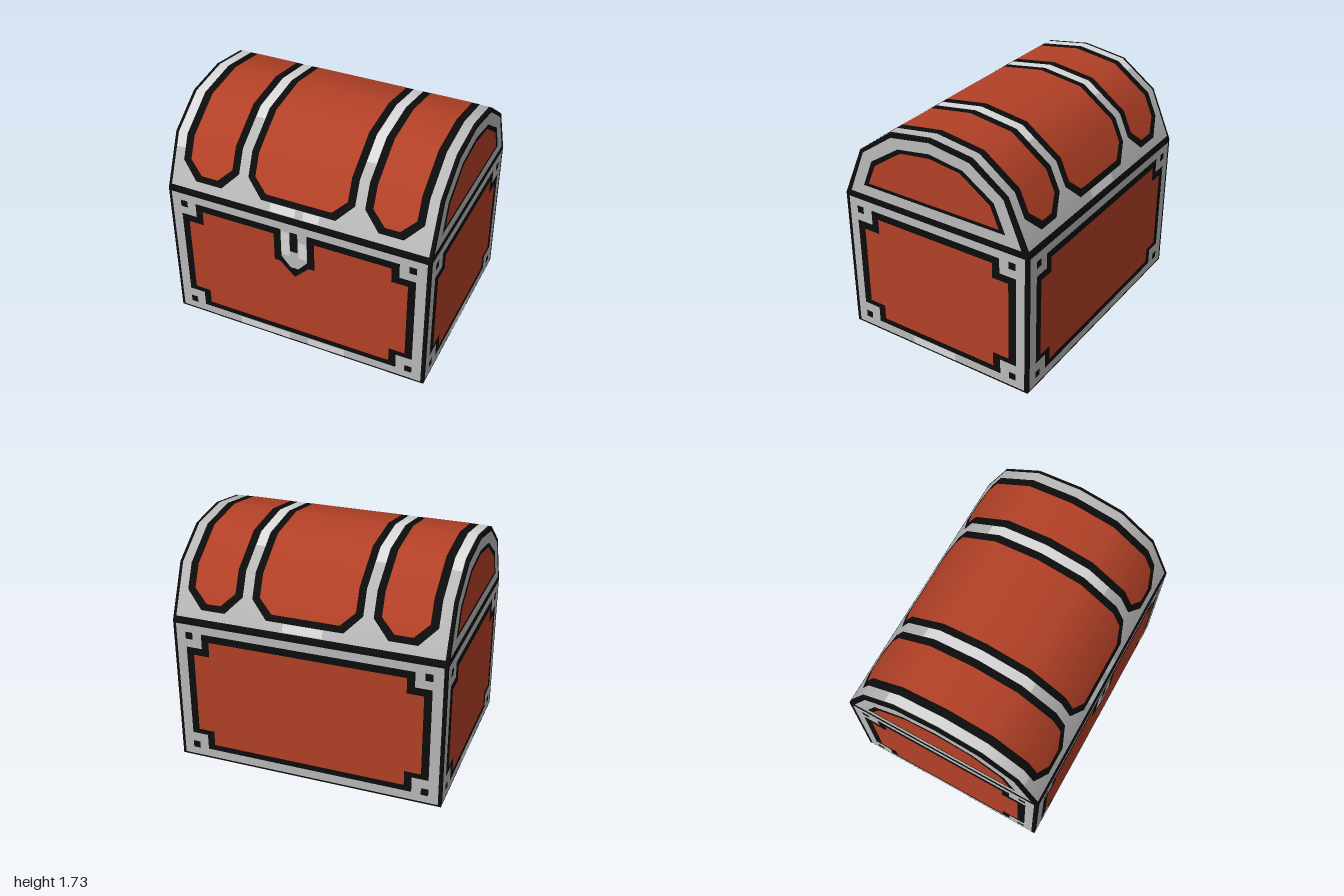
import * as THREE from 'three';

const paint = (name, color) => Object.assign(new THREE.MeshStandardMaterial({ color }), { name });

export function createModel() {
  const red = paint('red panel', 0xb44127);
  const grey = paint('grey metal', 0xbababa);
  const light = paint('worn light metal', 0xdadada);
  const black = paint('black outline', 0x0c0c0c);
  const chest = new THREE.Group();
  chest.name = 'chest';
  const W = 0.994, D = 0.757, SEAM = 1.12, STEP = 0.0015; // half width, half depth, lid seam, paint layer

  // ---- helpers for flat painted plates ----
  const plate = (parent, name, mat, layer, pts) => {
    const shape = new THREE.Shape(pts.map(([x, y]) => new THREE.Vector2(x, y)));
    const mesh = new THREE.Mesh(new THREE.ShapeGeometry(shape), mat);
    mesh.name = name;
    mesh.position.z = layer * STEP;
    parent.add(mesh);
  };
  const rect = (x0, x1, y0, y1) => [[x0, y0], [x1, y0], [x1, y1], [x0, y1]];
  // rectangle with square notches in its corners
  const notched = (X, x, y0, y1, y2, y3) => [
    [-x, y0], [x, y0], [x, y1], [X, y1], [X, y2], [x, y2],
    [x, y3], [-x, y3], [-x, y2], [-X, y2], [-X, y1], [-x, y1]];
  const octagon = (X, Y, cx, cy) => [
    [-X + cx, -Y], [X - cx, -Y], [X, -Y + cy], [X, Y - cy],
    [X - cx, Y], [-X + cx, Y], [-X, Y - cy], [-X, -Y + cy]];
  const mirrored = (half) => [...half, ...half.filter((p) => p[0] > 0).reverse().map(([x, y]) => [-x, y])];
  const face = (name, angle, distance) => {
    const g = new THREE.Group();
    g.name = name;
    g.rotation.y = angle;
    g.position.set(Math.sin(angle) * distance, 0, Math.cos(angle) * distance);
    chest.add(g);
    return g;
  };
  const studs = (g, x, ys, r) => {
    for (const sx of [-x, x]) for (const y of ys) plate(g, 'stud', black, 2, rect(sx - r, sx + r, y - r, y + r));
  };

  // ---- body ----
  const body = new THREE.Mesh(new THREE.BoxGeometry(2 * W, SEAM - 0.016, 2 * D), black);
  body.name = 'body';
  body.position.y = (SEAM + 0.016) / 2;
  chest.add(body);

  const wall = (g, half, big, small, bigRed, smallRed, stud) => {
    plate(g, 'metal frame', grey, 1, rect(-half, half, 0.03, 1.1));
    plate(g, 'panel outline', black, 2, notched(big, small, 0.095, 0.215, 0.925, 1.04));
    plate(g, 'panel', red, 3, notched(bigRed, smallRed, 0.14, 0.255, 0.87, 0.985));
    studs(g, stud, [0.115, 1.015], 0.027);
  };
  const front = face('front', 0, D);
  const back = face('back', Math.PI, D);
  for (const g of [front, back]) wall(g, 0.972, 0.9, 0.78, 0.845, 0.725, 0.875);
  plate(front, 'worn patch', light, 2, rect(-0.47, -0.06, 0.03, 0.085));
  plate(front, 'worn patch', light, 2, rect(0.09, 0.38, 0.03, 0.085));

  // latch on the front
  plate(front, 'latch outline', black, 4, [[-0.155, 0.76], [-0.11, 0.76], [0, 0.65], [0.11, 0.76], [0.155, 0.76], [0.155, 1.03], [-0.155, 1.03]]);
  plate(front, 'latch', grey, 5, [[-0.1, 0.81], [-0.03, 0.73], [0.03, 0.73], [0.1, 0.81], [0.1, 1.06], [-0.1, 1.06]]);
  plate(front, 'latch shine', light, 6, rect(-0.095, -0.035, 0.83, 1.03));
  plate(front, 'latch shine', light, 6, rect(0.035, 0.095, 0.83, 0.97));
  plate(front, 'keyhole', black, 6, rect(-0.03, 0.03, 0.875, 1.04));

  // ---- lid profile, front to back, as [z, y] ----
  const halfProfile = [[D, SEAM], [0.592, 1.5], [0.328, 1.692], [0, 1.74]];
  const profile = [...halfProfile, ...halfProfile.slice(0, 3).reverse().map(([z, y]) => [-z, y])];
  const normals = profile.map((_, i) => {
    const a = profile[Math.max(i - 1, 0)], b = profile[Math.min(i + 1, 6)];
    return new THREE.Vector2(b[1] - a[1], a[0] - b[0]).normalize();
  });

  // ---- sides with the lid ends ----
  for (const s of [1, -1]) {
    const g = face(s > 0 ? 'leftSide' : 'rightSide', s * Math.PI / 2, W);
    wall(g, 0.73, 0.665, 0.535, 0.605, 0.478, 0.635);
    plate(g, 'lid end', black, 0, mirrored(halfProfile));
    plate(g, 'lid end frame', grey, 1, mirrored([[0.705, 1.152], [0.57, 1.482], [0.317, 1.662], [0, 1.713]]));
    plate(g, 'lid end outline', black, 2, mirrored([[0.583, 1.23], [0.498, 1.435], [0.262, 1.593], [0, 1.634]]));
    plate(g, 'lid end panel', red, 3, mirrored([[0.535, 1.256], [0.47, 1.41], [0.24, 1.57], [0, 1.602]]));
    plate(g, 'worn patch', light, 2, rect(-0.22, 0.15, 0.03, 0.09));
  }

  // ---- underside ----
  const base = new THREE.Group();
  base.name = 'underside';
  base.rotation.x = Math.PI / 2;
  base.position.y = 0.016;
  chest.add(base);
  plate(base, 'base frame', grey, 1, rect(-0.97, 0.97, -0.73, 0.73));
  plate(base, 'base outline', black, 2, octagon(0.84, 0.62, 0.26, 0.21));
  plate(base, 'base panel', red, 3, octagon(0.78, 0.56, 0.24, 0.19));
  studs(base, 0.85, [-0.59, 0.59], 0.035);

  // ---- curved lid skins: rows are [place along the profile 0..6, left x, right x] ----
  const skin = (name, mat, layer, keys) => {
    const rows = [keys[0]];
    for (let k = 1; k < keys.length; k++) {
      const [a, b] = [keys[k - 1], keys[k]];
      for (let i = Math.floor(a[0]) + 1; i < b[0]; i++) {
        const f = (i - a[0]) / (b[0] - a[0]);
        rows.push([i, a[1] + (b[1] - a[1]) * f, a[2] + (b[2] - a[2]) * f]);
      }
      rows.push(b);
    }
    const pos = [], nor = [], idx = [];
    rows.forEach(([t, x0, x1], r) => {
      const i = Math.min(Math.floor(t), 5), f = t - i;
      const n = normals[i].clone().lerp(normals[i + 1], f).normalize();
      const z = THREE.MathUtils.lerp(profile[i][0], profile[i + 1][0], f) + n.x * layer * STEP;
      const y = THREE.MathUtils.lerp(profile[i][1], profile[i + 1][1], f) + n.y * layer * STEP;
      for (const x of [x0, x1]) {
        pos.push(x, y, z);
        nor.push(0, n.y, n.x);
      }
      const o = 2 * r;
      if (r) idx.push(o - 2, o - 1, o + 1, o - 2, o + 1, o);
    });
    const geo = new THREE.BufferGeometry();
    geo.setAttribute('position', new THREE.Float32BufferAttribute(pos, 3));
    geo.setAttribute('normal', new THREE.Float32BufferAttribute(nor, 3));
    geo.setIndex(idx);
    const mesh = new THREE.Mesh(geo, mat);
    mesh.name = name;
    chest.add(mesh);
  };
  const at = (y) => (y - SEAM) / (1.5 - SEAM); // place on the first slope at height y
  const band = (name, mat, layer, x0, x1, cut, low, full) => skin(name, mat, layer, [
    [at(low), x0 + cut, x1 - cut], [at(full), x0, x1], [6 - at(full), x0, x1], [6 - at(low), x0 + cut, x1 - cut]]);

  skin('lid', black, 0, [[0, -W, W], [6, -W, W]]);
  skin('lid frame', grey, 1, [[at(1.15), -0.972, 0.972], [6 - at(1.15), -0.972, 0.972]]);
  for (const [x0, x1, r0, r1] of [[-0.9, -0.458, -0.842, -0.513], [-0.385, 0.415, -0.333, 0.36], [0.487, 0.905, 0.543, 0.85]]) {
    band('lid panel outline', black, 2, x0, x1, 0.12, 1.21, 1.33);
    band('lid panel', red, 3, r0, r1, 0.1, 1.253, 1.345);
  }

  // worn light patches on the lid metal
  for (const [t0, t1, x0, x1] of [
    [1.75, 4.35, -0.455, -0.388], [1.4, 4.35, 0.418, 0.484], [0.75, 4.3, -0.968, -0.903],
    [at(1.155), at(1.207), -0.19, 0], [at(1.155), at(1.207), 0.06, 0.18],
    [6 - at(1.207), 6 - at(1.155), -0.12, 0.17]]) skin('worn patch', light, 2, [[t0, x0, x1], [t1, x0, x1]]);

  chest.position.y = -0.01;
  return chest;
}
